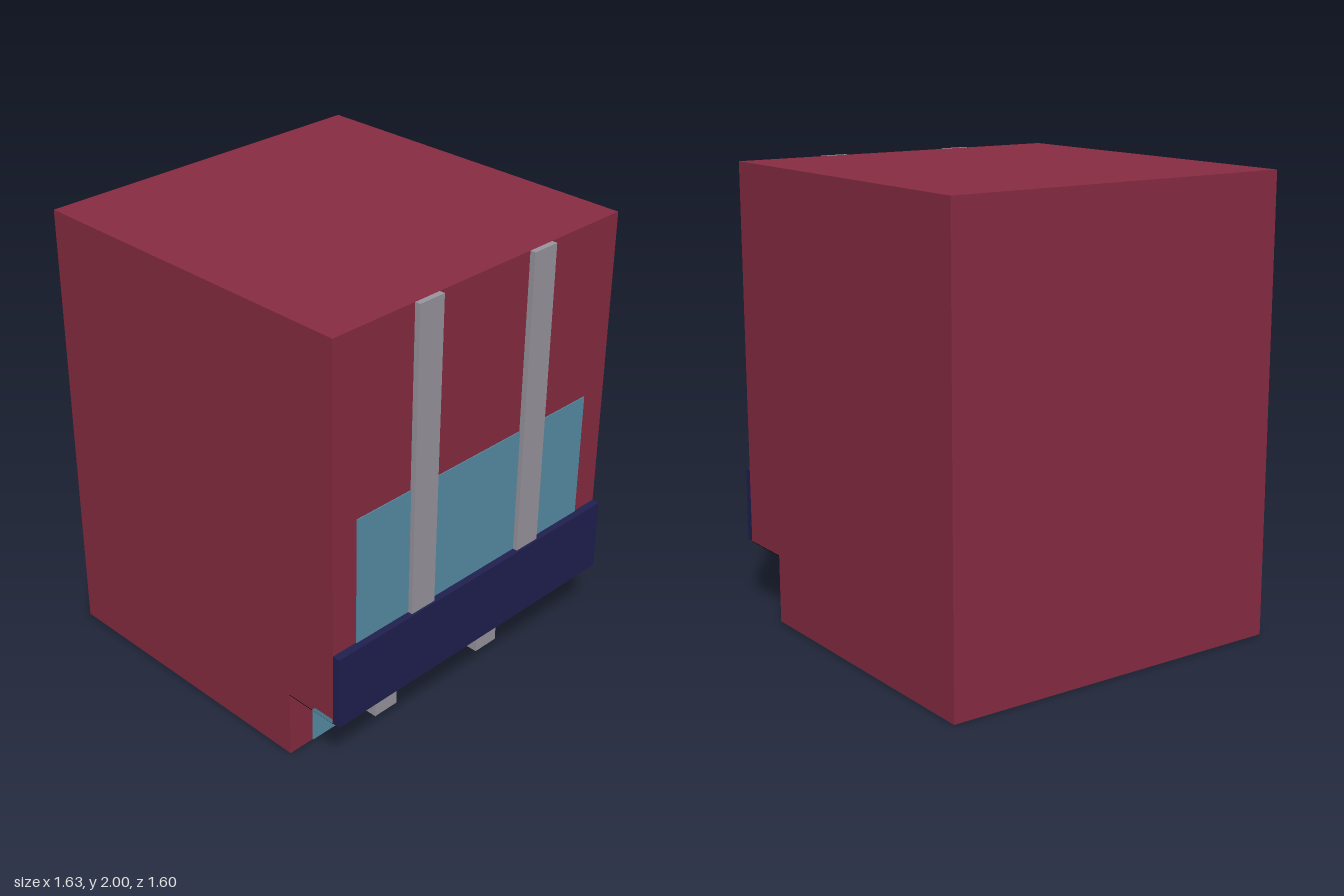
import * as THREE from 'three';

const mat = (name, color) => new THREE.MeshStandardMaterial({ name, color });

export function createModel() {
  const group = new THREE.Group();
  const red = mat('maroon wall', 0x882c42);
  const teal = mat('teal glass', 0x588ea6);
  const grey = mat('grey pillar', 0x9a97a1);
  const navy = mat('navy band', 0x202050);
  const black = mat('black soffit', 0x050505);

  const add = (name, geometry, material) => {
    const mesh = new THREE.Mesh(geometry, material);
    mesh.name = name;
    group.add(mesh);
  };
  // Box given by its minimum and maximum on each axis
  const box = (name, material, [x0, x1], [y0, y1], [z0, z1]) => {
    const g = new THREE.BoxGeometry(x1 - x0, y1 - y0, z1 - z0);
    g.translate((x0 + x1) / 2, (y0 + y1) / 2, (z0 + z1) / 2);
    add(name, g, material);
  };

  const overhang = 0.305, bandTop = 0.635, depth = [-0.8, 0.8];

  // Main block with the ground floor set back on the shop side
  const outline = new THREE.Shape([
    [-0.82, 0], [0.53, 0], [0.53, overhang], [0.78, overhang], [0.78, 2], [-0.82, 2],
  ].map(([x, y]) => new THREE.Vector2(x, y)));
  const body = new THREE.ExtrudeGeometry(outline, { depth: 1.6, bevelEnabled: false });
  add('buildingBody', body.translate(0, 0, -0.8), red);

  // Fascia band and the dark underside of the overhang
  box('fasciaBand', navy, [0.78, 0.815], [overhang, bandTop], depth);
  box('soffit', black, [0.53, 0.78], [overhang - 0.003, overhang], depth);

  // Glazing above and below the band
  box('upperWindow', teal, [0.78, 0.784], [bandTop, 1.205], [-0.67, 0.675]);
  box('lowerWindow', teal, [0.53, 0.534], [0, overhang - 0.003], [-0.67, 0.675]);

  // Thin glazing return at the front corner
  const trim = new THREE.Shape([
    [0.66, overhang], [0.78, overhang], [0.78, 0.327], [0.68, 0.327],
  ].map(([x, y]) => new THREE.Vector2(x, y)));
  add('cornerTrim', new THREE.ShapeGeometry(trim).translate(0, 0, 0.802), teal);

  // Pairs of pillars
  for (const side of [-1, 1]) {
    const z = [side * 0.32 - 0.065, side * 0.32 + 0.065];
    box('upperPillar', grey, [0.78, 0.805], [bandTop, 2], z);
    box('lowerPillar', grey, [0.53, 0.61], [0, overhang - 0.003], z);
  }
  return group;
}
